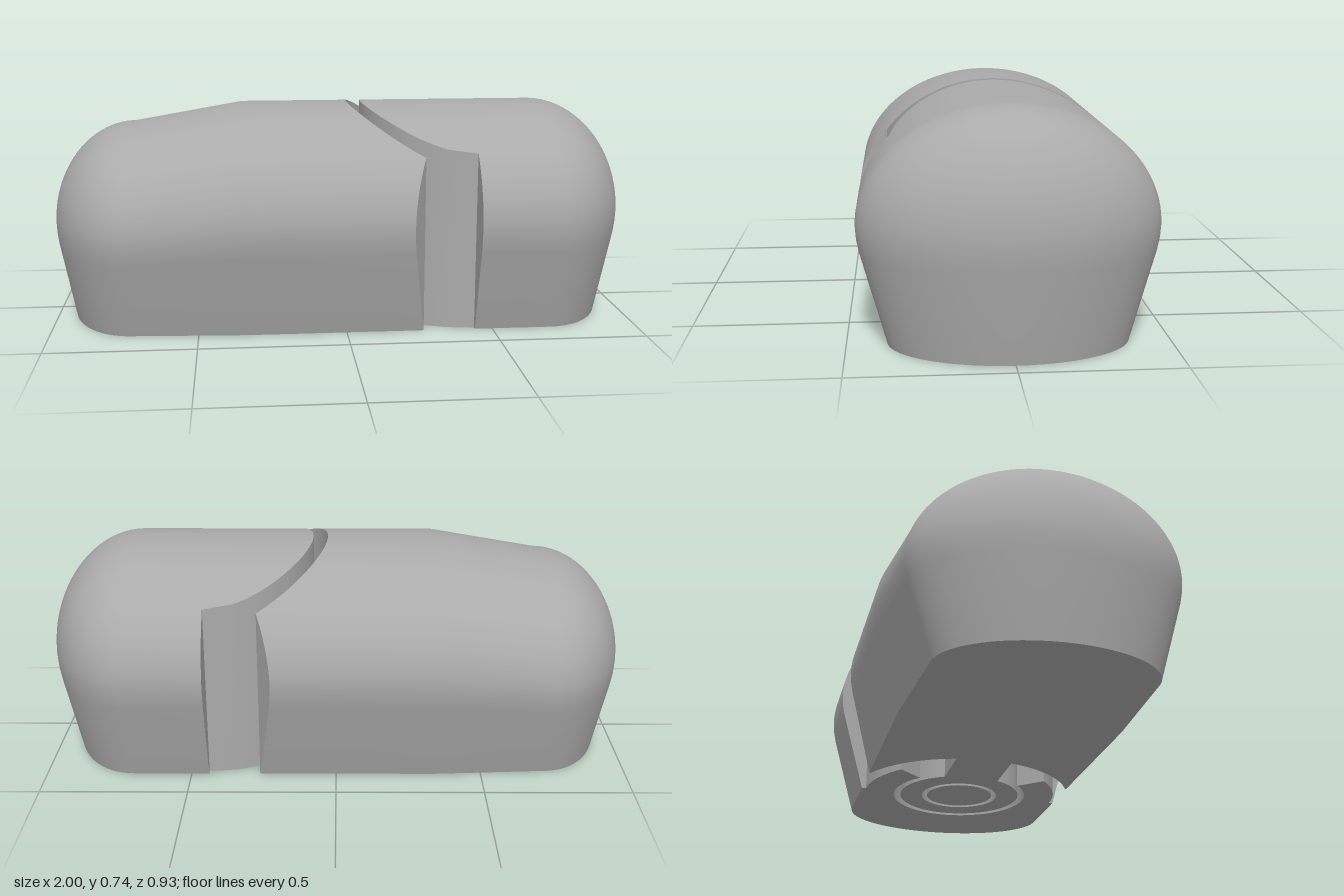
import * as THREE from 'three';
import { mergeGeometries, toCreasedNormals } from 'three/addons/utils/BufferGeometryUtils.js';

const W = 0.467, R = 0.37;             // half width and half height of the rounded section
const FOOT = 0.375;                    // half width at the ground
const TAN = { z: 0.456, y: 0.29 };     // where the sloping side meets the rounded section
const HX = 0.44, KNUCKLE = 0.36, SOCKET = 0.41; // hinge axis and its two radii
const BORE = 0.25, CAVITY = 0.27, SWING = THREE.MathUtils.degToRad(132);
const SLOT_Z = KNUCKLE * Math.sin(SWING);

// Rounded section, one half, bottom to top, as (half width, height)
const angles = [];
for (let i = 0; i <= 32; i++) angles.push((i / 32) * Math.PI / 2);
for (const z of [KNUCKLE, 0.37, FOOT, TAN.z, SLOT_Z]) angles.push(Math.acos(z / W));
angles.sort((a, b) => a - b);
const upper = angles.map(a => [a > 1.5707 ? 0 : W * Math.cos(a), R + R * Math.sin(a)]);
const half = [[FOOT, 0], [TAN.z, TAN.y], [0.464, 0.33], ...upper];
const mirrorZ = list => [...list, ...list.slice(0, -1).reverse().map(([z, y]) => [-z, y])];
const section = mirrorZ(half);
const columns = mirrorZ(upper);

// Lower edge of the section at a given half width
function footY(z) {
  const a = Math.abs(z);
  if (a <= FOOT) return 0;
  if (a <= TAN.z) return TAN.y * (a - FOOT) / (TAN.z - FOOT);
  return R - R * Math.sqrt(Math.max(0, 1 - (a / W) ** 2));
}

// Ends facing the hinge
const socketX = z => Math.abs(z) <= 0.37
  ? HX - Math.sqrt(SOCKET ** 2 - z * z) : HX - 0.4774 * Math.abs(z);
const knuckleX = z => HX - Math.sqrt(Math.max(0, KNUCKLE ** 2 - z * z));

// Surface through rows of points
function grid(rows) {
  const n = rows[0].length, index = [];
  for (let k = 0; k < rows.length - 1; k++)
    for (let i = 0; i < n - 1; i++) {
      const a = k * n + i, b = a + n;
      index.push(a, b, a + 1, b, b + 1, a + 1);
    }
  const g = new THREE.BufferGeometry();
  g.setAttribute('position', new THREE.Float32BufferAttribute(rows.flat(2), 3));
  g.setIndex(index);
  return g;
}

// Flat face looking down, outlined by (x, z) points
function floor(points, y = 0) {
  const shape = new THREE.Shape(points.map(p => new THREE.Vector2(p[0], p[1])));
  return new THREE.ShapeGeometry(shape).rotateX(Math.PI / 2).translate(0, y, 0);
}

// Elliptical arc of (x, z) points
function arc(cx, rx, rz, from, to, n = 48) {
  return Array.from({ length: n + 1 }, (_, i) => {
    const a = from + (to - from) * i / n;
    return [cx + rx * Math.cos(a), rz * Math.sin(a)];
  });
}
const hingeArc = (r, from, to, n) => arc(HX, r, r, from, to, n);

const dome = () => new THREE.LatheGeometry(half.map(p => new THREE.Vector2(...p)), 56, 0, Math.PI);

function solid(name, parts, material) {
  const clean = parts.map(p => {
    const g = p.index ? p.toNonIndexed() : p;
    g.deleteAttribute('uv');
    g.deleteAttribute('normal');
    return g;
  });
  const mesh = new THREE.Mesh(toCreasedNormals(mergeGeometries(clean), 0.6), material);
  mesh.name = name;
  return mesh;
}

export function createModel() {
  const group = new THREE.Group();
  group.name = 'hingedBlock';
  const grey = new THREE.MeshStandardMaterial({ color: 0xaaaaaa, side: THREE.DoubleSide });
  grey.name = 'grey';
  const PI = Math.PI;

  // Long body: tapered nose, straight middle, hollow end
  const noseX = -0.72, sy = 0.675 / 0.74, sz = 0.44 / W, sx = 0.28 / W;
  const longBody = [
    dome().rotateY(PI).scale(sx, sy, sz).translate(noseX, 0, 0),
    grid([
      section.map(([z, y]) => [noseX, y * sy, z * sz]),
      section.map(([z, y]) => [-0.34, y, z]),
      section.map(([z, y]) => [socketX(z), y, z]),
    ]),
    grid([
      columns.map(([z, y]) => [socketX(z), y, z]),
      columns.map(([z]) => [socketX(z), footY(z), z]),
    ]),
    floor([
      ...arc(noseX, FOOT * sx, FOOT * sz, PI / 2, PI * 1.5),
      [-0.34, -FOOT],
      ...columns.filter(([z]) => Math.abs(z) <= FOOT + 1e-6).map(([z]) => [socketX(z), z]).reverse(),
      [-0.34, FOOT],
    ]),
  ];
  group.add(solid('longBody', longBody, grey));

  // Short body: round end and round knuckle with a cavity for the arm
  const e = 1e-6;
  const knuckleFace = (keep, base) => {
    const list = columns.filter(([z]) => keep(z));
    return grid([
      list.map(([z]) => [knuckleX(z), base ?? footY(z), z]),
      list.map(([z, y]) => [knuckleX(z), y, z]),
    ]);
  };
  const cavity = [
    ...hingeArc(KNUCKLE, SWING, SWING, 1).slice(0, 1),
    ...hingeArc(BORE, SWING, -SWING, 72),
    ...hingeArc(KNUCKLE, -SWING, -SWING, 1).slice(0, 1),
  ];
  const shortBody = [
    dome().scale(0.3 / W, 1, 1).translate(0.7, 0, 0),
    grid([
      section.map(([z, y]) => [knuckleX(z), y, z]),
      section.map(([z, y]) => [0.7, y, z]),
    ]),
    knuckleFace(z => z >= SLOT_Z - e),
    knuckleFace(z => Math.abs(z) <= SLOT_Z + e, CAVITY),
    knuckleFace(z => z <= -SLOT_Z + e),
    floor([
      ...arc(0.7, FOOT * 0.3 / W, FOOT, -PI / 2, PI / 2),
      [HX, FOOT],
      ...hingeArc(KNUCKLE, PI / 2, SWING, 16).slice(0, -1),
      ...cavity,
      ...hingeArc(KNUCKLE, -SWING, -PI / 2, 16).slice(1),
      [HX, -FOOT],
    ]),
    grid([0, CAVITY].map(y => cavity.map(([x, z]) => [x, y, z]))),
    floor([...cavity, ...hingeArc(KNUCKLE, -SWING, SWING - 2 * PI, 32).slice(1, -1)], CAVITY),
  ];
  group.add(solid('shortBody', shortBody, grey));

  // Pin on the hinge axis
  const pin = new THREE.CylinderGeometry(0.123, 0.123, CAVITY, 48).translate(HX, CAVITY / 2, 0);
  group.add(solid('hingePin', [pin], grey));

  // Arm and ring around the pin
  const ringR = 0.225, a = PI - Math.asin(0.1 / ringR);
  const armShape = new THREE.Shape([
    [0.01, -0.1], ...hingeArc(ringR, -a, a, 64), [0.01, 0.1],
  ].map(p => new THREE.Vector2(...p)));
  armShape.holes.push(new THREE.Path().absarc(HX, 0, 0.143, 0, 2 * PI, true));
  const arm = new THREE.ExtrudeGeometry(armShape, { depth: 0.25, bevelEnabled: false, curveSegments: 24 })
    .rotateX(PI / 2).translate(0, 0.25, 0);
  group.add(solid('hingeArm', [arm], grey));

  return group;
}
